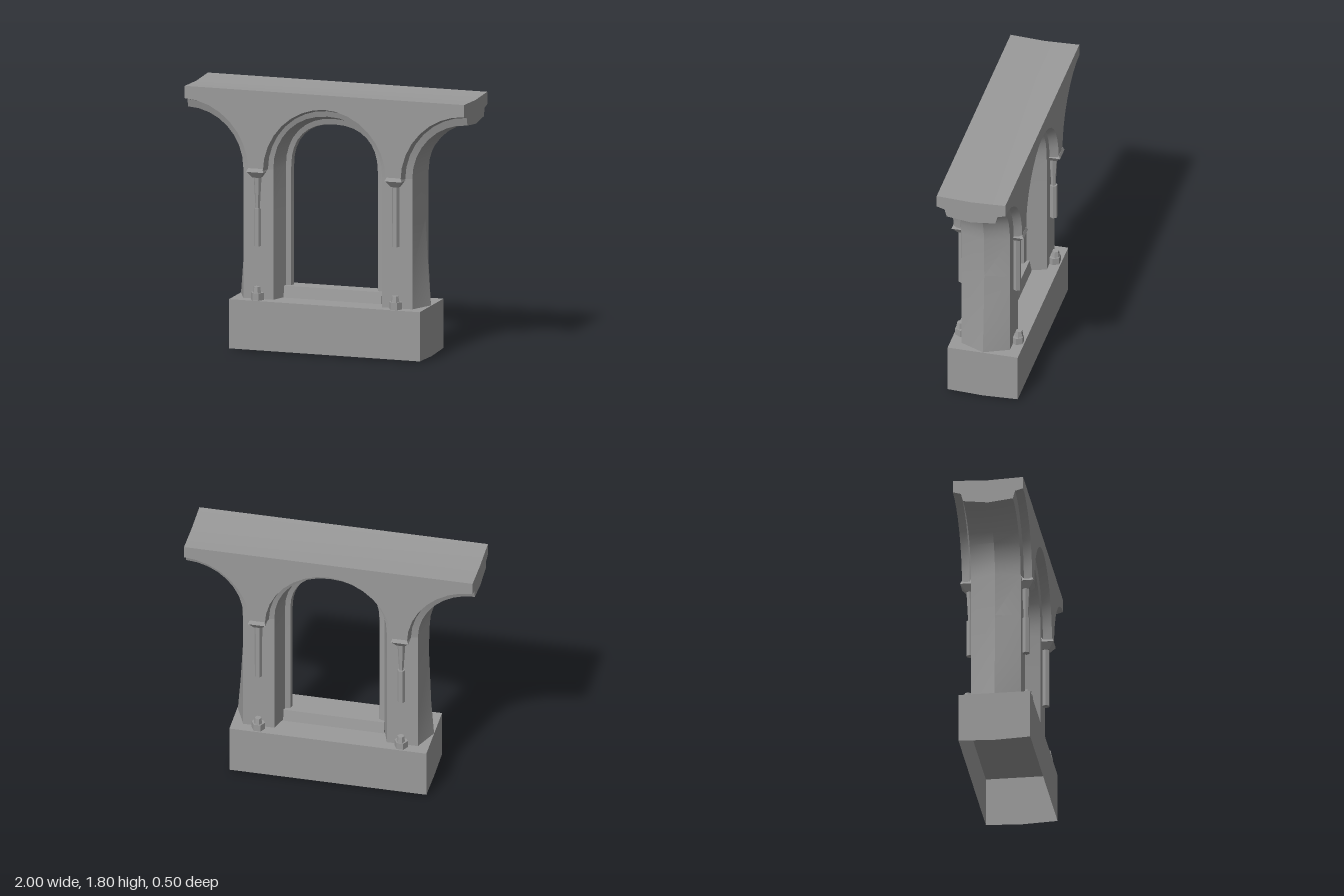
import * as THREE from 'three';
import { toCreasedNormals } from 'three/addons/utils/BufferGeometryUtils.js';

const stone = new THREE.MeshStandardMaterial({ color: 0x9b9b9b, side: THREE.DoubleSide });
const SPRING = 1.25, FLOOR = 0.35, TOP = 1.8;

// Arch outlines: half width w, crown height h, squareness n, depth z, jamb flare f
const faceEdge = { w: 0.44, h: 1.70, n: 1.95, z: 0.24 };
const faceInner = { w: 0.425, h: 1.68, n: 2, z: 0.18 };
const jambEdge = { w: 0.39, h: 1.64, n: 2.1, z: 0.17 };
const sideFaceEdge = { w: 0.455, h: 1.715, n: 1.95, z: 0.24 };
const sideFaceInner = { w: 0.44, h: 1.70, n: 1.95, z: 0.185 };
const sideJambEdge = { w: 0.395, h: 1.645, n: 2, z: 0.17 };
const sideRidge = { w: 0.35, h: 1.625, n: 2, z: 0, f: 0.03 };
const windowRings = [jambEdge,
  { w: 0.345, h: 1.60, n: 2.2, z: 0.04 },
  { w: 0.31, h: 1.56, n: 2.3, z: 0.03 },
  { w: 0.30, h: 1.555, n: 2.3, z: 0 }];

// Points of one arch outline from angle t0 to t1, with jambs down to the floor if wanted
function archPoints(ring, cx, t0, t1, jambs) {
  const { w, h, n, f = 0 } = ring, points = [];
  const jamb = [[w - f, FLOOR], [w - f * 0.35, 0.6], [w + f * 0.3, 0.95]];
  if (jambs && t0 === 0) jamb.forEach(([x, y]) => points.push([cx + x, y]));
  const steps = Math.round((t1 - t0) / Math.PI * 16);
  for (let i = 0; i <= steps; i++) {
    const t = t0 + (t1 - t0) * i / steps, c = Math.cos(t), s = Math.abs(Math.sin(t));
    points.push([cx + w * Math.sign(c) * Math.abs(c) ** (2 / n), SPRING + (h - SPRING) * s ** (2 / n)]);
  }
  if (jambs && t1 === Math.PI) jamb.reverse().forEach(([x, y]) => points.push([cx - x, y]));
  return points;
}

// Surface that joins successive arch outlines
function archSurface(rings, cx, t0, t1, jambs) {
  const rows = rings.map(r => archPoints(r, cx, t0, t1, jambs).map(([x, y]) => [x, y, r.z]));
  const count = rows[0].length, index = [];
  for (let j = 0; j < rows.length - 1; j++) {
    for (let i = 0; i < count - 1; i++) {
      const a = j * count + i, b = a + 1, c = a + count, d = c + 1;
      index.push(a, b, c, b, d, c);
    }
  }
  const geometry = new THREE.BufferGeometry();
  geometry.setAttribute('position', new THREE.Float32BufferAttribute(rows.flat(2), 3));
  geometry.setIndex(index);
  return geometry;
}

const flipZ = rings => rings.map(r => ({ ...r, z: -r.z })).reverse();
const shapeOf = points => new THREE.Shape(points.map(([x, y]) => new THREE.Vector2(x, y)));

export function createModel() {
  const model = new THREE.Group();
  // Curves stay smooth, real edges stay sharp
  const add = (name, geometry, x = 0, y = 0, z = 0, ry = 0) => {
    const mesh = new THREE.Mesh(toCreasedNormals(geometry, 0.42), stone);
    mesh.name = name;
    mesh.position.set(x, y, z);
    mesh.rotation.y = ry;
    model.add(mesh);
  };
  const P = Math.PI;

  // Hollow pedestal, open underneath, its ends dipping slightly in the middle
  const pedestal = new THREE.BoxGeometry(1.365, 0.34, 0.49, 1, 1, 2).translate(0.002, 0.18, 0);
  const under = pedestal.groups[3];
  const kept = Array.from(pedestal.index.array);
  kept.splice(under.start, under.count);
  pedestal.setIndex(kept);
  pedestal.clearGroups();
  const pp = pedestal.attributes.position;
  for (let i = 0; i < pp.count; i++) {
    if (Math.abs(pp.getZ(i)) < 0.01 && pp.getY(i) < 0.1) pp.setY(i, 0);
  }
  add('pedestal', pedestal);

  // Central opening and the two half arches at the sides
  const bays = [
    { name: 'central', cx: 0, t0: 0, t1: P, face: [faceEdge, faceInner, jambEdge], reveal: windowRings },
    { name: 'left', cx: 1, t0: P / 2, t1: P },
    { name: 'right', cx: -1, t0: 0, t1: P / 2 },
  ];
  for (const { name, cx, t0, t1,
    face = [sideFaceEdge, sideFaceInner, sideJambEdge], reveal = [sideJambEdge, sideRidge] } of bays) {
    add(name + 'ArchMoulding', archSurface(face, cx, t0, t1, false));
    add(name + 'ArchMouldingBack', archSurface(flipZ(face), cx, t0, t1, false));
    add(name + 'Reveal', archSurface([...reveal, ...flipZ(reveal).slice(1)], cx, t0, t1, true));
  }

  // Spandrel walls above the arches, front and back
  const spandrel = new THREE.ShapeGeometry(shapeOf([
    [-1, TOP],
    ...archPoints(sideFaceEdge, -1, 0, P / 2).reverse(),
    ...archPoints(faceEdge, 0, 0, P).reverse(),
    ...archPoints(sideFaceEdge, 1, P / 2, P).reverse(),
    [1, TOP],
  ]));
  add('spandrelFront', spandrel, 0, 0, 0.24);
  add('spandrelBack', spandrel, 0, 0, -0.24, P);

  // Top surface, sunk a little along the middle
  const top = new THREE.PlaneGeometry(2, 0.48, 1, 2).rotateX(-P / 2).translate(0, TOP, 0);
  const tp = top.attributes.position;
  for (let i = 0; i < tp.count; i++) if (Math.abs(tp.getZ(i)) < 0.01) tp.setY(i, 1.79);
  add('topSurface', top);

  // Cut ends of the side arches
  const half = [[0.24, TOP], [0.24, 1.715], [0.185, 1.70], [0.17, 1.645]];
  const end = new THREE.ShapeGeometry(shapeOf([
    [0, 1.79], ...half, [0, 1.625], ...half.map(([z, y]) => [-z, y]).reverse()]));
  add('leftEnd', end, 1, 0, 0, P / 2);
  add('rightEnd', end, -1, 0, 0, -P / 2);

  // Window sill with steep faces
  const sill = new THREE.ExtrudeGeometry(
    shapeOf([[-0.075, FLOOR], [0.075, FLOOR], [0.06, 0.43], [-0.06, 0.43]]),
    { depth: 0.7, bevelEnabled: false });
  add('sill', sill, -0.35, 0, 0, P / 2);

  // Pillar faces with capital, wall shaft and shaft base
  const pillarFace = new THREE.PlaneGeometry(0.215, SPRING - FLOOR);
  const capital = new THREE.CylinderGeometry(0.085, 0.04, 0.045, 4).rotateY(P / 4);
  const capitalRim = new THREE.CylinderGeometry(0.072, 0.087, 0.025, 4).rotateY(P / 4);
  const shaft = (r0, r1, length) => new THREE.CylinderGeometry(r0, r1, length, 6).rotateY(P / 6);
  for (const x of [-0.495, 0.495]) {
    for (const z of [1, -1]) {
      add('pillarFace', pillarFace, Math.sign(x) * 0.4975, (SPRING + FLOOR) / 2, 0.17 * z, z > 0 ? 0 : P);
      add('capital', capital, x, 1.217, 0.19 * z);
      add('capitalRim', capitalRim, x, 1.25, 0.19 * z);
      if (x > 0) {
        add('shaft', shaft(0.027, 0.025, 0.42), x, 0.99, 0.192 * z);
      } else {
        // Worn shaft: a thinned upper length above an intact lower one
        add('wornShaft', shaft(0.028, 0.015, 0.23), x, 1.085, 0.19 * z);
        add('lowerShaft', shaft(0.026, 0.026, 0.26), x, 0.85, 0.192 * z);
      }
      add('shaftBase', shaft(0.046, 0.046, 0.05), x, 0.375, 0.195 * z);
      add('shaftStub', shaft(0.023, 0.03, 0.045), x, 0.42, 0.205 * z);
    }
  }
  return model;
}
